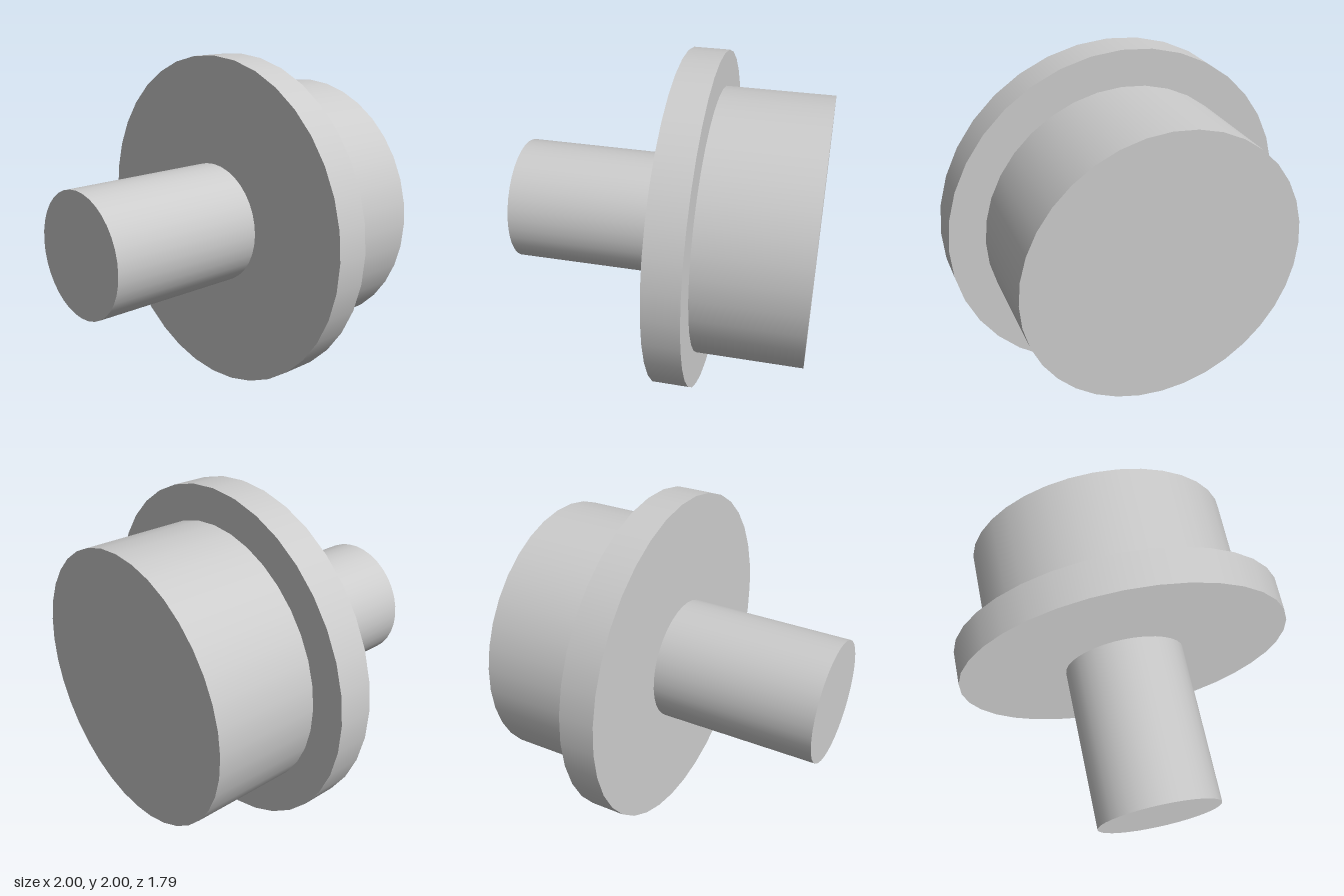
import * as THREE from 'three';

export function createModel() {
  const group = new THREE.Group();
  const grey = new THREE.MeshStandardMaterial({ color: 0xcccccc });
  grey.name = 'light grey';

  // Cylinder lying along z, from back to front
  function disc(name, radius, back, front) {
    const geometry = new THREE.CylinderGeometry(radius, radius, front - back, 36);
    geometry.rotateX(Math.PI / 2);
    const mesh = new THREE.Mesh(geometry, grey);
    mesh.name = name;
    mesh.position.set(0, 1, (back + front) / 2);
    group.add(mesh);
  }

  disc('stem', 0.363, -0.065, 0.897);
  disc('flange', 1, -0.272, -0.065);
  disc('drum', 0.795, -0.897, -0.272);

  return group;
}
